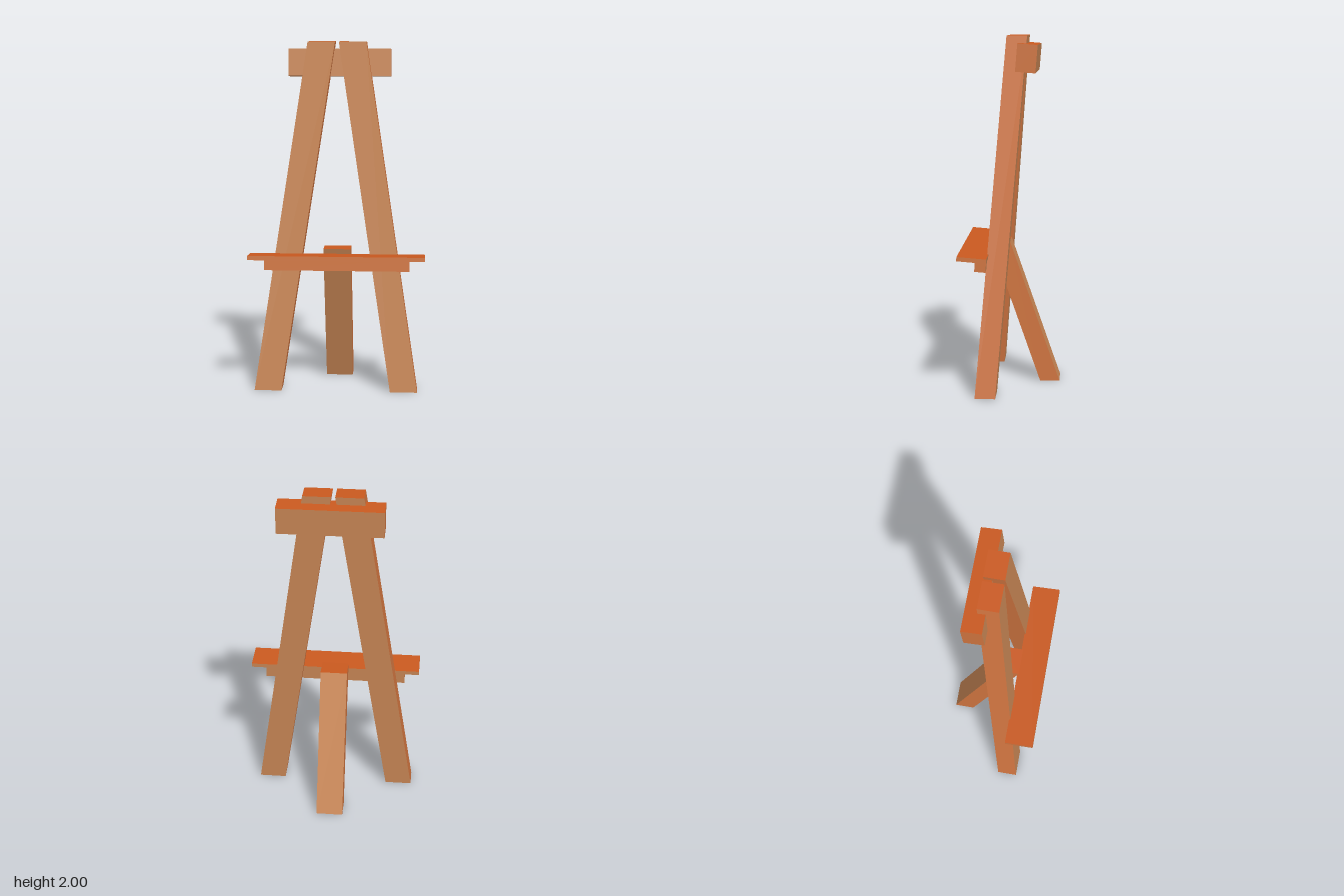
import * as THREE from 'three';

export function createModel() {
  const paint = (name, color) => {
    const m = new THREE.MeshStandardMaterial({ color });
    m.name = name;
    return m;
  };
  const tan = paint('tanWood', 0xcb8856);
  const sienna = paint('siennaWood', 0xd07540);
  const orange = paint('orangeWood', 0xc9591f);

  // Face order: +x, -x, top, bottom, front, back
  const beamWood = [sienna, sienna, orange, tan, tan, tan];
  const ledgeWood = [sienna, sienna, orange, tan, sienna, tan];

  const easel = new THREE.Group();
  easel.name = 'easel';

  // Beam with level ends, leaning from a foot centre to a top centre
  function leaningBeam(name, width, depth, height, foot, top) {
    const geometry = new THREE.BoxGeometry(width, height, depth);
    geometry.translate(0, height / 2, 0);
    const p = geometry.attributes.position;
    for (let i = 0; i < p.count; i++) {
      const t = p.getY(i) / height;
      p.setX(i, p.getX(i) + THREE.MathUtils.lerp(foot[0], top[0], t));
      p.setZ(i, p.getZ(i) + THREE.MathUtils.lerp(foot[1], top[1], t));
    }
    geometry.computeVertexNormals();
    const mesh = new THREE.Mesh(geometry, beamWood);
    mesh.name = name;
    easel.add(mesh);
  }

  // Crosspiece tilted to follow the slope of the front legs
  const lean = -Math.atan(0.16 / 2);
  function crosspiece(name, size, x, y, z, wood) {
    const mesh = new THREE.Mesh(new THREE.BoxGeometry(...size), wood);
    mesh.name = name;
    mesh.position.set(x, y, z);
    mesh.rotation.x = lean;
    easel.add(mesh);
  }

  // Two front legs and the rear prop
  for (const [name, side] of [['leftFrontLeg', 1], ['rightFrontLeg', -1]]) {
    leaningBeam(name, 0.156, 0.115, 2,
      [side * 0.392 - 0.007, 0.128], [side * 0.089 - 0.008, -0.032]);
  }
  leaningBeam('rearLeg', 0.156, 0.113, 0.825, [-0.002, -0.221], [-0.002, 0.068]);

  // Top bar, canvas shelf and the batten under it
  crosspiece('topBar', [0.588, 0.155, 0.112], 0.004, 1.878, -0.092, beamWood);
  crosspiece('shelf', [1, 0.024, 0.163], 0, 0.791, 0.197, ledgeWood);
  crosspiece('shelfBatten', [0.83, 0.068, 0.062], 0, 0.742, 0.155, ledgeWood);

  return easel;
}
